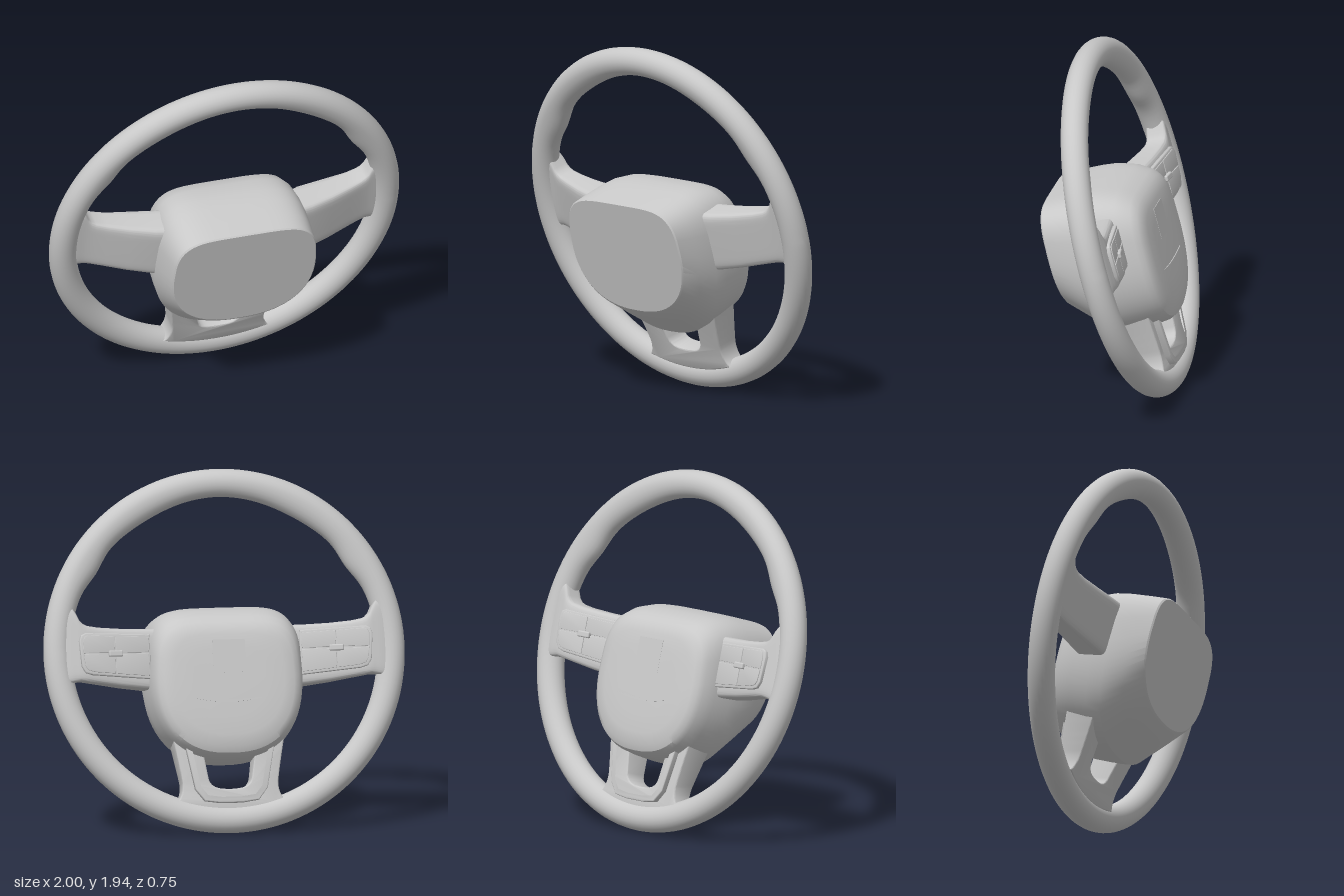
import * as THREE from 'three';
import { toCreasedNormals } from 'three/addons/utils/BufferGeometryUtils.js';
import { RoundedBoxGeometry } from 'three/addons/geometries/RoundedBoxGeometry.js';

const grey = new THREE.MeshStandardMaterial({ color: 0xc8c8c8 });
grey.name = 'lightGrey';

function add(parent, name, geometry, x = 0, y = 0, z = 0) {
  const mesh = new THREE.Mesh(geometry, grey);
  mesh.name = name;
  mesh.position.set(x, y, z);
  parent.add(mesh);
  return mesh;
}

// Skin closed rings (counter-clockwise about the travel direction) and cap both ends
function loft(rings, crease) {
  const n = rings[0].length, pos = [], idx = [];
  rings.forEach(r => r.forEach(p => pos.push(...p)));
  for (let i = 0; i < rings.length - 1; i++) {
    for (let j = 0; j < n; j++) {
      const k = (j + 1) % n, a = i * n + j, b = i * n + k;
      idx.push(a, b, b + n, a, b + n, a + n);
    }
  }
  const last = (rings.length - 1) * n;
  for (const [ring, start, end] of [[rings[0], 0, false], [rings[rings.length - 1], last, true]]) {
    const c = pos.length / 3;
    pos.push(...[0, 1, 2].map(k => ring.reduce((s, p) => s + p[k], 0) / n));
    for (let j = 0; j < n; j++) {
      const a = start + j, b = start + (j + 1) % n;
      idx.push(c, end ? a : b, end ? b : a);
    }
  }
  const g = new THREE.BufferGeometry();
  g.setAttribute('position', new THREE.Float32BufferAttribute(pos, 3));
  g.setIndex(idx);
  return toCreasedNormals(g, crease);
}

const power = (c, n) => Math.sign(c) * Math.pow(Math.abs(c), 2 / n);

// Shield-like outline: squarish top, round bottom
function shieldRing([z, top, bottom, half]) {
  const mid = top - (top - bottom) * 0.42, ring = [];
  for (let i = 0; i < 72; i++) {
    const a = i / 72 * Math.PI * 2, c = Math.cos(a), s = Math.sin(a);
    const n = s > 0 ? 5 : 2.4;
    const t = Math.max(0, power(s, n));
    ring.push([half * power(c, n) * (1 - 0.11 * t * t),
      mid + power(s, n) * (s > 0 ? top - mid : mid - bottom), z]);
  }
  return ring;
}

// Rounded box section of a side spoke in the plane x = const
function spokeRing([x, top, bottom, front, back], side) {
  const ring = [];
  for (let i = 0; i < 64; i++) {
    const a = i / 64 * Math.PI * 2;
    ring.push([x * side, (top + bottom) / 2 + (top - bottom) / 2 * power(Math.cos(a), 7),
      (front + back) / 2 + (front - back) / 2 * power(Math.sin(a), 7)]);
  }
  return side > 0 ? ring : ring.reverse();
}

function extrude(shape, depth, bevel) {
  return new THREE.ExtrudeGeometry(shape, {
    depth, curveSegments: 10, bevelEnabled: bevel > 0, bevelThickness: bevel, bevelSize: bevel,
    bevelOffset: -bevel, bevelSegments: 3 });
}

const smooth = geometry => toCreasedNormals(geometry, 0.6);
const polygon = points => new THREE.Shape(points.map(p => new THREE.Vector2(...p)));

export function createModel() {
  const model = new THREE.Group();
  model.name = 'steeringWheel';
  const wheel = new THREE.Group();
  wheel.name = 'tiltedWheel';
  wheel.position.set(0, 0.967, -0.065);
  wheel.rotation.x = 0.257;
  model.add(wheel);

  // Rim, with thumb grips swelling inward above the side spokes
  const rim = new THREE.TorusGeometry(0.925, 0.075, 24, 144);
  const p = rim.attributes.position;
  for (let i = 0; i < p.count; i++) {
    const x = p.getX(i), y = p.getY(i), r = Math.hypot(x, y);
    if (r >= 0.925) continue;
    const a = Math.atan2(y, Math.abs(x)) * 180 / Math.PI;
    const swell = 0.04 + 0.33 * Math.exp(-(((a - 33) / 7.5) ** 2)) + 0.22 * Math.exp(-(((a - 60) / 18) ** 2));
    const k = (0.925 - (0.925 - r) * (1 + swell)) / r;
    p.setXY(i, x * k, y * k);
  }
  rim.computeVertexNormals();
  // Share normals over the torus seams
  const nrm = rim.attributes.normal, row = 145;
  for (let j = 0; j <= 24; j++) nrm.setXYZ(j * row + 144, nrm.getX(j * row), nrm.getY(j * row), nrm.getZ(j * row));
  for (let i = 0; i < row; i++) {
    for (const q of [i, 24 * row + i]) {
      const l = Math.hypot(p.getX(q), p.getY(q));
      nrm.setXYZ(q, p.getX(q) / l, p.getY(q) / l, 0);
    }
  }
  add(wheel, 'rim', rim);

  // Hub: columns are depth, top, bottom, half width
  const hub = [
    [-0.171, 0.0, -0.36, 0.2], [-0.168, 0.08, -0.47, 0.305], [-0.158, 0.12, -0.535, 0.36],
    [-0.14, 0.15, -0.57, 0.388], [-0.11, 0.18, -0.587, 0.407], [-0.03, 0.22, -0.602, 0.424],
    [0.08, 0.245, -0.614, 0.433], [0.165, 0.248, -0.614, 0.436], [0.28, 0.244, -0.507, 0.426],
    [0.383, 0.239, -0.408, 0.412], [0.391, 0.233, -0.395, 0.405]];
  add(wheel, 'hub', loft(hub.map(shieldRing), 0.55));
  add(wheel, 'hubBadgePlate', new THREE.BoxGeometry(0.18, 0.18, 0.006), 0, -0.04, -0.169);

  // Thin crescent lip across the pad
  const lip = new THREE.Shape();
  lip.moveTo(-0.19, -0.27);
  lip.quadraticCurveTo(0, -0.29, 0.19, -0.27);
  lip.quadraticCurveTo(0, -0.315, -0.19, -0.27);
  add(wheel, 'padLip', smooth(extrude(lip, 0.009, 0)), 0, 0, -0.176);

  // Side spokes: x, top, bottom, front, back
  const spoke = [
    [0.36, 0.135, -0.205, 0.18, -0.02], [0.45, 0.135, -0.197, 0.163, -0.03],
    [0.58, 0.138, -0.182, 0.123, -0.046], [0.7, 0.146, -0.164, 0.08, -0.064],
    [0.76, 0.156, -0.155, 0.06, -0.073], [0.785, 0.168, -0.151, 0.053, -0.075],
    [0.805, 0.19, -0.149, 0.048, -0.075], [0.82, 0.225, -0.15, 0.045, -0.073],
    [0.84, 0.255, -0.153, 0.042, -0.07], [0.875, 0.26, -0.16, 0.038, -0.066],
    [0.92, 0.25, -0.165, 0.03, -0.05]];
  for (const side of [1, -1]) {
    const label = side > 0 ? 'left' : 'right';
    add(wheel, label + 'Spoke', loft(spoke.map(s => spokeRing(s, side)), 0.5));

    // Switch panel on the driver's side of the spoke
    const panel = new THREE.Group();
    panel.name = label + 'SwitchPanel';
    panel.position.set(side * 0.615, 0, -0.052);
    panel.rotation.y = side * 0.13;
    wheel.add(panel);
    const flip = pts => polygon(pts.map(([x, y]) => [x * side, y]));
    add(panel, 'switchBezel', smooth(extrude(flip([[-0.2, -0.145], [0.13, -0.118], [0.17, -0.105], [0.19, -0.07],
      [0.2, 0.07], [0.19, 0.1], [0.165, 0.113], [-0.2, 0.1]]), 0.022, 0.006)), 0, 0, -0.012);
    const buttons = [
      [[-0.19, 0.002], [-0.003, 0.002], [-0.003, 0.092], [-0.19, 0.085]],
      [[0.003, 0.002], [0.18, 0.002], [0.182, 0.07], [0.172, 0.092], [0.155, 0.1], [0.003, 0.092]],
      [[-0.19, -0.128], [-0.003, -0.113], [-0.003, -0.006], [-0.19, -0.006]],
      [[0.003, -0.112], [0.12, -0.102], [0.158, -0.09], [0.173, -0.065], [0.179, -0.006], [0.003, -0.006]]];
    buttons.forEach((b, i) => add(panel, 'switchButton' + (i + 1), smooth(extrude(flip(b), 0.01, 0.002)), 0, 0, -0.021));
    add(panel, 'switchRoller', new RoundedBoxGeometry(0.08, 0.034, 0.03, 3, 0.008), 0, -0.003, -0.025);
  }

  // Lower spoke: flared plate with an opening below the hub
  const lower = new THREE.Shape();
  lower.moveTo(0.31, -0.47);
  lower.quadraticCurveTo(0.28, -0.62, 0.265, -0.72);
  lower.quadraticCurveTo(0.262, -0.79, 0.3, -0.828);
  lower.quadraticCurveTo(0, -0.935, -0.3, -0.828);
  lower.quadraticCurveTo(-0.262, -0.79, -0.265, -0.72);
  lower.quadraticCurveTo(-0.28, -0.62, -0.31, -0.47);
  const opening = new THREE.Path();
  opening.moveTo(-0.145, -0.55);
  opening.lineTo(-0.12, -0.7);
  opening.quadraticCurveTo(-0.11, -0.745, -0.06, -0.755);
  opening.quadraticCurveTo(0, -0.765, 0.06, -0.755);
  opening.quadraticCurveTo(0.11, -0.745, 0.12, -0.7);
  opening.lineTo(0.145, -0.55);
  lower.holes.push(opening);
  // its front face leans out towards the hub
  const plate = extrude(lower, 0.1, 0.008);
  const v = plate.attributes.position;
  for (let i = 0; i < v.count; i++) {
    if (v.getZ(i) > 0.05) v.setZ(i, v.getZ(i) + 0.17 * (v.getY(i) + 0.82));
  }
  add(wheel, 'lowerSpoke', smooth(plate), 0, 0, -0.04);

  // Raised trim around the opening on the driver's side
  const trim = polygon([[0.25, -0.5], [0.2, -0.76], [0.15, -0.825], [0.06, -0.838],
    [-0.06, -0.838], [-0.15, -0.825], [-0.2, -0.76], [-0.25, -0.5]]);
  trim.holes.push(polygon([[0.222, -0.51], [0.175, -0.75], [0.135, -0.8], [0.055, -0.812],
    [-0.055, -0.812], [-0.135, -0.8], [-0.175, -0.75], [-0.222, -0.51]]));
  add(wheel, 'lowerSpokeTrim', smooth(extrude(trim, 0.05, 0.006)), 0, 0, -0.076);

  return model;
}
